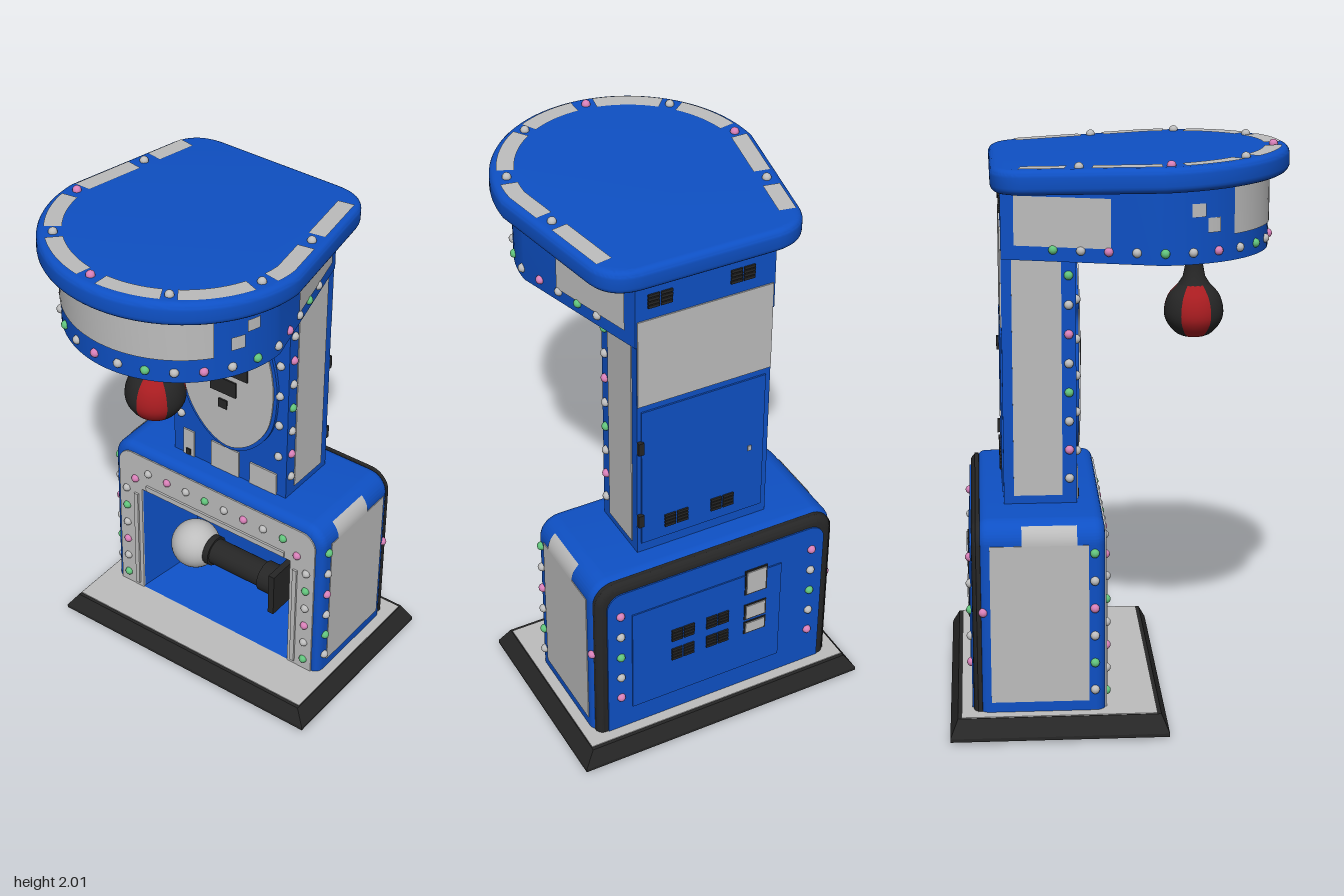
import * as THREE from 'three';
import { toCreasedNormals } from 'three/addons/utils/BufferGeometryUtils.js';

const mat = (name, color, side = THREE.FrontSide) => {
  const m = new THREE.MeshStandardMaterial({ color, side });
  m.name = name;
  return m;
};

export function createModel() {
  const model = new THREE.Group();
  model.name = 'punchingMachine';
  const blue = mat('blue', 0x0e50c4);
  const gray = mat('gray', 0xbdbdbd, THREE.DoubleSide);
  const black = mat('black', 0x262626);
  const red = mat('red', 0xa81c20);
  const pink = mat('pink', 0xd880b8);
  const green = mat('green', 0x62c47c);

  const add = (name, geo, material, x = 0, y = 0, z = 0, parent = model) => {
    const m = new THREE.Mesh(geo, material);
    m.name = name;
    m.position.set(x, y, z);
    parent.add(m);
    return m;
  };
  // Box given by its minimum and maximum on each axis
  const box = (name, material, x0, x1, y0, y1, z0, z1) =>
    add(name, new THREE.BoxGeometry(x1 - x0, y1 - y0, z1 - z0), material, (x0 + x1) / 2, (y0 + y1) / 2, (z0 + z1) / 2);
  // Extrusion of total thickness t whose rounded edges stay inside the outline
  const slab = (shape, t, bevel = 0) => toCreasedNormals(new THREE.ExtrudeGeometry(shape, {
    depth: t - 2 * bevel, bevelEnabled: bevel > 0, bevelSize: bevel, bevelThickness: bevel,
    bevelOffset: -bevel, bevelSegments: 5, curveSegments: 24,
  }).translate(0, 0, bevel), 0.6);
  // Strip between two edges, f(t) returning both edge points
  const ribbon = (n, f) => {
    const pos = [], idx = [];
    for (let i = 0; i <= n; i++) {
      const [a, b] = f(i / n);
      pos.push(...a, ...b);
      if (i < n) idx.push(2 * i, 2 * i + 1, 2 * i + 2, 2 * i + 1, 2 * i + 3, 2 * i + 2);
    }
    const g = new THREE.BufferGeometry();
    g.setAttribute('position', new THREE.Float32BufferAttribute(pos, 3));
    g.setIndex(idx);
    g.computeVertexNormals();
    return g;
  };
  // Horseshoe path: straight splayed side, front arc, mirrored side
  const horseshoe = (xb, zb, R, zc = 0.13) => {
    const L = Math.hypot(R - xb, zc - zb), arc = Math.PI * R, total = 2 * L + arc;
    const at = (s) => {
      if (s > total / 2) { const p = at(total - s); return { x: -p.x, z: p.z, nx: -p.nx, nz: p.nz }; }
      if (s < L) {
        const k = s / L;
        return { x: xb + (R - xb) * k, z: zb + (zc - zb) * k, nx: (zc - zb) / L, nz: -(R - xb) / L };
      }
      const a = (s - L) / R;
      return { x: R * Math.cos(a), z: zc + R * Math.sin(a), nx: Math.cos(a), nz: Math.sin(a) };
    };
    return { at, total };
  };
  const bulbGeo = new THREE.SphereGeometry(0.016, 12, 8);
  const cycle = [pink, gray, green, gray];
  const bulb = (x, y, z, i, parent = model) => add('lightBulb', bulbGeo, cycle[i % 4], x, y, z, parent);

  // Floor plinth with sloping rim
  const plinth = new THREE.CylinderGeometry(0.525 * Math.SQRT2, 0.565 * Math.SQRT2, 0.058, 4, 1)
    .rotateY(Math.PI / 4).scale(1, 1, 0.38 / 0.565).toNonIndexed();
  plinth.computeVertexNormals();
  add('plinth', plinth, black, 0, 0.051, -0.225);
  box('plinthEdge', black, -0.565, 0.565, 0.01, 0.022, -0.605, 0.155);
  box('plinthTop', gray, -0.522, 0.522, 0.076, 0.083, -0.565, 0.115);
  box('plinthFoot', black, -0.33, 0.33, 0, 0.012, -0.4, -0.06);

  // Arched outline, optionally notched for the front opening
  const arch = (w, top, r, bottom, notchW = 0, notchTop = 0) => {
    const s = new THREE.Shape();
    s.moveTo(w, bottom);
    s.lineTo(w, top - r);
    s.absarc(w - r, top - r, r, 0, Math.PI / 2, false);
    s.absarc(r - w, top - r, r, Math.PI / 2, Math.PI, false);
    s.lineTo(-w, bottom);
    if (notchW) {
      s.lineTo(-notchW, bottom);
      s.lineTo(-notchW, notchTop);
      s.lineTo(notchW, notchTop);
      s.lineTo(notchW, bottom);
    }
    return s;
  };
  // Lower cabinet
  add('cabinet', slab(arch(0.482, 0.77, 0.08, 0.04, 0.36, 0.595), 0.437, 0.035), blue, 0, 0, -0.5);
  add('cabinetBackRim', slab(arch(0.474, 0.762, 0.08, 0.05), 0.045, 0.03), black, 0, 0, -0.522);
  add('cabinetBack', slab(arch(0.435, 0.722, 0.06, 0.085), 0.006), blue, 0, 0, -0.527);
  add('frontFrame', slab(arch(0.452, 0.738, 0.06, 0.083, 0.345, 0.58), 0.008), gray, 0, 0, -0.066);
  box('frameTopTrim', gray, -0.32, 0.32, 0.588, 0.61, -0.06, -0.05);
  for (const s of [-1, 1]) box('frameSideTrim', gray, s * 0.37 - 0.009, s * 0.37 + 0.009, 0.1, 0.55, -0.06, -0.05);

  // Tapering recess
  const rect = (w, y0, y1, z) => [-w, y0, z, w, y0, z, w, y1, z, -w, y1, z];
  const recessIdx = [4, 5, 6, 4, 6, 7];
  for (let i = 0; i < 4; i++) {
    const j = (i + 1) % 4;
    recessIdx.push(i, j, j + 4, i, j + 4, i + 4);
  }
  let recess = new THREE.BufferGeometry();
  recess.setAttribute('position', new THREE.Float32BufferAttribute([...rect(0.347, 0.085, 0.582, -0.06), ...rect(0.262, 0.15, 0.48, -0.3)], 3));
  recess.setIndex(recessIdx);
  recess = recess.toNonIndexed();
  recess.computeVertexNormals();
  add('recess', recess, blue);

  // Striking arm and ball
  add('strikeBall', new THREE.SphereGeometry(0.095, 32, 20), gray, -0.15, 0.355, -0.14);
  const rod = (name, r, x0, x1) => add(name, new THREE.CylinderGeometry(r, r, x1 - x0, 20).rotateZ(Math.PI / 2), black, (x0 + x1) / 2, 0.365, -0.14);
  rod('armCollar', 0.06, -0.075, -0.05);
  rod('arm', 0.051, -0.06, 0.19);
  rod('armSocket', 0.06, 0.18, 0.25);
  box('armPlate', black, 0.25, 0.275, 0.275, 0.455, -0.22, -0.06);

  // Cabinet sides and all cabinet lights
  for (const s of [-1, 1]) {
    add('cabinetSidePanel', new THREE.BoxGeometry(0.006, 0.57, 0.34), gray, s * 0.482, 0.405, -0.29);
    add('cabinetCornerPanel', ribbon(8, (t) => {
      const a = t * 0.87, x = s * (0.402 + 0.083 * Math.cos(a)), y = 0.69 + 0.083 * Math.sin(a);
      return [[x, y, -0.35], [x, y, -0.16]];
    }), gray);
    for (let i = 0; i < 6; i++) {
      bulb(s * 0.484, 0.16 + i * 0.1, -0.1, i + 1);
      bulb(s * 0.418, 0.13 + i * 0.085, -0.058, i + 2);
    }
    for (let i = 0; i < 5; i++) bulb(s * 0.385, 0.235 + i * 0.097, -0.528, i);
    bulb(s * 0.375, 0.62, -0.058, 0);
    bulb(s * 0.476, 0.45, -0.485, 0);
  }
  for (let i = 0; i < 8; i++) bulb((i - 3.5) * 0.089, 0.67, -0.058, i + 3);

  // Vents: stacked slats on a rear face
  const vent = (x, y, z) => {
    for (let i = 0; i < 4; i++) for (const k of [-1, 1])
      box('ventSlat', black, x + k * 0.024 - 0.021, x + k * 0.024 + 0.021, y + i * 0.014 - 0.026, y + i * 0.014 - 0.016, z - 0.006, z);
  };
  box('servicePanel', blue, -0.26, 0.34, 0.17, 0.61, -0.532, -0.525);
  for (const x of [0, 0.14]) for (const y of [0.36, 0.45]) vent(x, y, -0.532);
  for (const [y, h] of [[0.575, 0.1], [0.435, 0.06], [0.36, 0.045]]) {
    box('meterBorder', black, -0.2, -0.11, y - h / 2 - 0.006, y + h / 2 + 0.006, -0.535, -0.53);
    box('meterPlate', gray, -0.194, -0.116, y - h / 2, y + h / 2, -0.539, -0.534);
  }

  // Column
  box('column', blue, -0.255, 0.255, 0.75, 1.66, -0.405, -0.15);
  box('columnBackPanel', gray, -0.253, 0.253, 1.4, 1.74, -0.41, -0.404);
  box('columnDoor', blue, -0.235, 0.24, 0.81, 1.375, -0.411, -0.404);
  for (const y of [0.915, 1.23]) box('doorHinge', black, 0.235, 0.255, y - 0.025, y + 0.025, -0.42, -0.404);
  box('doorLock', gray, -0.187, -0.173, 1.07, 1.09, -0.415, -0.41);
  for (const x of [-0.075, 0.106]) vent(x, 0.88, -0.411);
  for (const x of [-0.135, 0.17]) vent(x, 1.81, -0.405);
  for (const s of [-1, 1]) {
    add('columnSidePanel', new THREE.BoxGeometry(0.006, 0.84, 0.17), gray, s * 0.256, 1.22, -0.285);
    for (let i = 0; i < 8; i++) bulb(s * 0.256, 0.86 + i * 0.103, -0.175, i + 3);
    [0.95, 1.09, 1.22, 1.35, 1.49].forEach((y, i) => bulb(s * 0.22, y, -0.148, i % 2 ? 1 : 3));
  }
  for (const [x0, x1, y1] of [[-0.21, -0.16, 0.885], [-0.08, 0.045, 0.885], [0.095, 0.215, 0.865]])
    box('columnFrontPanel', gray, x0, x1, 0.77, y1, -0.152, -0.144);
  box('coinSlot', black, -0.195, -0.175, 0.775, 0.8, -0.146, -0.14);

  // Shield with screens
  const half = [[0, 1.61], [0.06, 1.595], [0.105, 1.56], [0.125, 1.515], [0.185, 1.5], [0.2, 1.465], [0.172, 1.4],
    [0.192, 1.3], [0.2, 1.2], [0.178, 1.06], [0.1, 0.95], [0, 0.905]];
  const shield = (k) => {
    const pts = [...half, ...half.slice(1, -1).reverse().map(([x, y]) => [-x, y])]
      .map(([x, y]) => new THREE.Vector2(x * k, 1.255 + (y - 1.255) * (1 + (k - 1) * 0.6)));
    return new THREE.Shape(new THREE.SplineCurve([...pts, pts[0]]).getPoints(110));
  };
  add('shieldBorder', slab(shield(1.07), 0.014), blue, 0, 0, -0.152);
  add('shield', slab(shield(1), 0.008), gray, 0, 0, -0.141);
  for (const [x0, x1, y0, y1] of [[-0.11, 0.09, 1.23, 1.345], [-0.073, 0.04, 1.14, 1.205], [-0.037, 0, 1.073, 1.11]])
    box('screen', black, x0, x1, y0, y1, -0.135, -0.127);

  // Head: horseshoe drum with wrapped panels and lights
  const headPath = horseshoe(0.26, -0.405, 0.405);
  const headShape = new THREE.Shape();
  headShape.moveTo(-0.26, -0.405);
  headShape.lineTo(0.26, -0.405);
  headShape.absarc(0, 0.13, 0.405, 0, Math.PI, false);
  add('head', slab(headShape, 0.265).rotateX(Math.PI / 2), blue, 0, 1.905, 0);
  const wrap = (name, s0, s1, y0, y1) => add(name, ribbon(24, (t) => {
    const p = headPath.at(s0 + (s1 - s0) * t), x = p.x + p.nx * 0.004, z = p.z + p.nz * 0.004;
    return [[x, y1, z], [x, y0, z]];
  }), gray);
  const T = headPath.total;
  wrap('headFrontPanel', 0.823, T - 0.823, 1.73, 1.9);
  for (const [name, s0, s1, y0, y1] of [['headSidePanel', 0.047, 0.383, 1.69, 1.86],
    ['headCheck', 0.714, 0.764, 1.745, 1.795], ['headCheck', 0.656, 0.706, 1.8, 1.845]]) {
    wrap(name, s0, s1, y0, y1);
    wrap(name, T - s1, T - s0, y0, y1);
  }
  for (let i = 0; i < 22; i++) {
    const p = headPath.at(T / 2 + (i - 10.5) * 0.096);
    bulb(p.x, 1.68, p.z, i + 1);
  }

  // Tilted lid with marquee strip
  const lid = new THREE.Group();
  lid.name = 'lid';
  lid.position.y = 1.971;
  lid.rotation.x = -0.034;
  model.add(lid);
  const lidShape = new THREE.Shape();
  lidShape.moveTo(-0.24, -0.44);
  lidShape.lineTo(0.24, -0.44);
  lidShape.quadraticCurveTo(0.365, -0.44, 0.39, -0.33);
  lidShape.absarc(0, 0.13, 0.475, 0, Math.PI, false);
  lidShape.lineTo(-0.39, -0.33);
  lidShape.quadraticCurveTo(-0.365, -0.44, -0.24, -0.44);
  add('lidSlab', slab(lidShape, 0.085, 0.025).rotateX(Math.PI / 2), blue, 0, 0, 0, lid);
  const lidPath = horseshoe(0.335, -0.34, 0.42);
  for (const [s0, s1] of [[0, 0.24], [0.325, 0.55], [0.632, 0.874], [0.925, 1.135], [1.21, 1.445], [1.512, 1.724], [1.797, 2.03], [2.12, 2.275]])
    add('lidStrip', ribbon(12, (t) => {
      const p = lidPath.at(s0 + (s1 - s0) * t), e = (d) => [p.x + p.nx * d, 0.003, p.z + p.nz * d];
      return [e(-0.03), e(0.03)];
    }), gray, 0, 0, 0, lid);
  [0.28, 0.59, 0.9, 1.178, 1.478, 1.768, 2.075].forEach((s, i) => {
    const p = lidPath.at(s);
    bulb(p.x, 0.003, p.z, i === 3 || i === 5 ? 0 : 1, lid);
  });

  // Hanging speed bag in six wedges, with neck and mount
  const bagProfile = new THREE.SplineCurve([[0.001, 1.298], [0.06, 1.315], [0.098, 1.36], [0.105, 1.405], [0.09, 1.455], [0.055, 1.495], [0.034, 1.525]]
    .map(([x, y]) => new THREE.Vector2(x, y))).getPoints(24);
  for (let i = 0; i < 6; i++)
    add('bagWedge', new THREE.LatheGeometry(bagProfile, 8, i * Math.PI / 3, Math.PI / 3), i % 2 ? black : red, 0, 0, 0.28);
  const neck = [[0.06, 1.488], [0.04, 1.52], [0.03, 1.57], [0.027, 1.61], [0.03, 1.645]].map(([x, y]) => new THREE.Vector2(x, y));
  add('bagNeck', new THREE.LatheGeometry(neck, 20), black, 0, 0, 0.28);
  add('bagMount', new THREE.CylinderGeometry(0.075, 0.075, 0.008, 24), gray, 0, 1.638, 0.28);
  return model;
}
